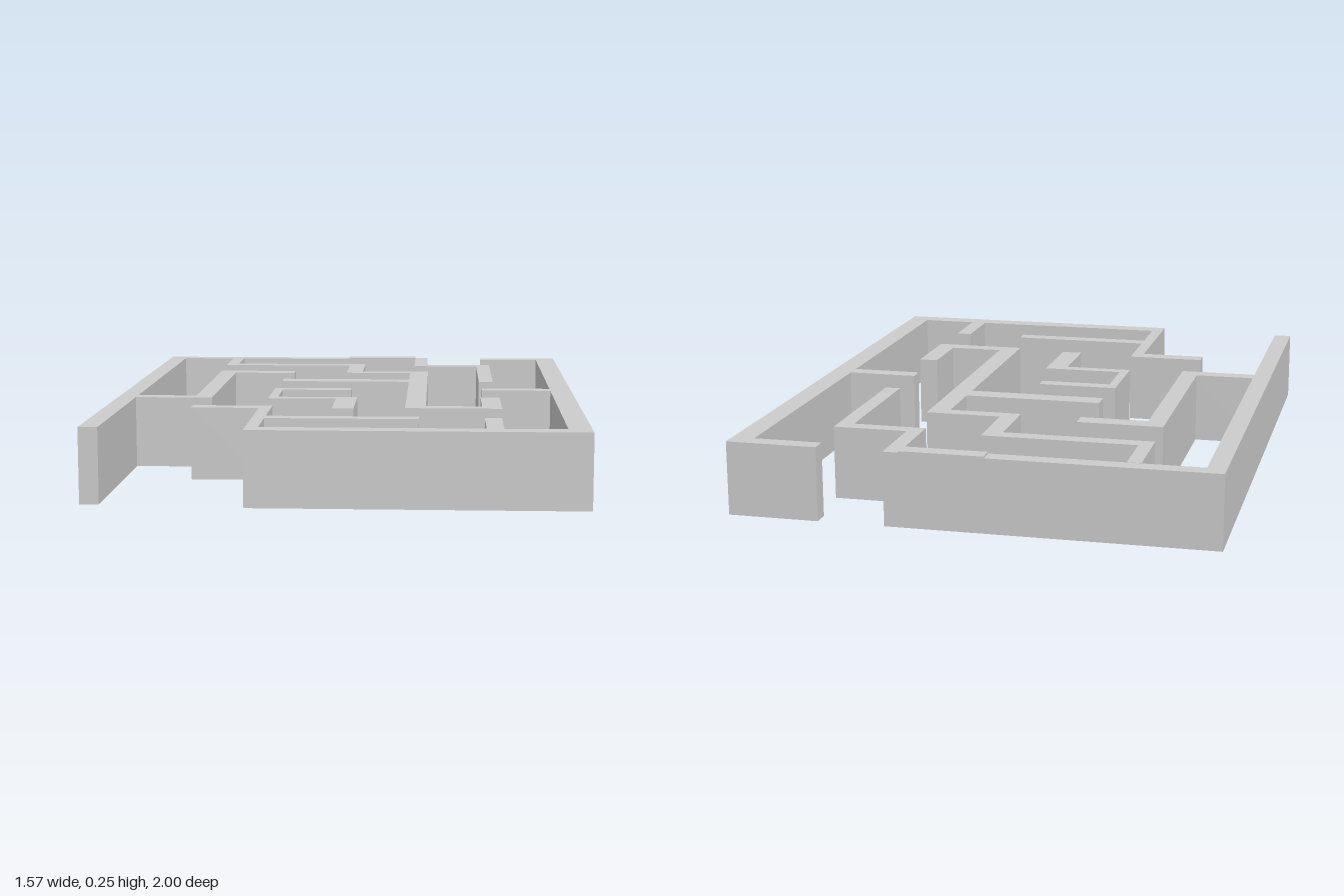
import * as THREE from 'three';

// Right-angled outline seen from above: corners alternate between a move in x and a move in z,
// so [x0, z0, x1, z1, ...] gives (x0,z0), (x1,z0), (x1,z1), (x2,z1) ... back to (x0,z0).
function outline(steps) {
  const points = [];
  for (let i = 0; i < steps.length; i += 2) {
    const x = steps[i], z = steps[i + 1], nextX = steps[(i + 2) % steps.length];
    points.push(new THREE.Vector2(x, -z), new THREE.Vector2(nextX, -z));
  }
  return new THREE.Shape(points);
}

export function createModel() {
  const maze = new THREE.Group();
  maze.name = 'maze';
  const material = new THREE.MeshStandardMaterial({ color: 0xcccccc, flatShading: true });

  function wall(name, bottom, top, steps) {
    const geometry = new THREE.ExtrudeGeometry(outline(steps), { depth: top - bottom, bevelEnabled: false });
    geometry.rotateX(-Math.PI / 2);
    const mesh = new THREE.Mesh(geometry, material);
    mesh.name = name;
    mesh.position.y = bottom;
    maze.add(mesh);
  }

  // Left and back outer walls, with the bent branch at each end
  wall('leftAndBackWall', 0.008, 0.248, [
    -0.783, -1, 0.27, -0.755, 0.515, -0.215, 0.463, -0.705, 0.22, -0.945,
    -0.722, 0.215, -0.52, -0.52, -0.235, -0.455, -0.46, 0.27, -0.722, 0.965,
  ]);

  // Right and front outer walls, with their stubs and the front-left branch
  wall('rightAndFrontWall', 0.008, 0.248, [
    0.487, -1, 0.783, 1, -0.273, 0.517, -0.498, 0.46, -0.233, 0.693, 0.255, 0.747,
    -0.233, 0.935, 0.463, 0.71, 0.517, 0.935, 0.71, 0.03, 0.47, -0.027, 0.71, -0.945,
  ]);

  // Long stepped wall running from the back wall through the middle
  wall('steppedInnerWall', 0.008, 0.249, [
    -0.525, -0.945, -0.48, -0.753, 0.025, -0.515, 0.275, 0.45, 0.46, 0.23,
    0.525, 0.505, 0.207, -0.195, -0.258, -0.265, 0.207, -0.465, -0.035, -0.7,
  ]);

  // Free-standing hooked wall at the centre, set slightly lower
  wall('centreHookWall', 0, 0.245, [
    -0.268, -0.03, 0.006, 0.02, -0.237, 0.212, 0.037, 0.493, -0.035, 0.254,
  ]);

  // Thin raised strip on top of the back wall
  wall('backWallStrip', 0.248, 0.253, [-0.05, -1, 0.22, -0.945]);

  return maze;
}
